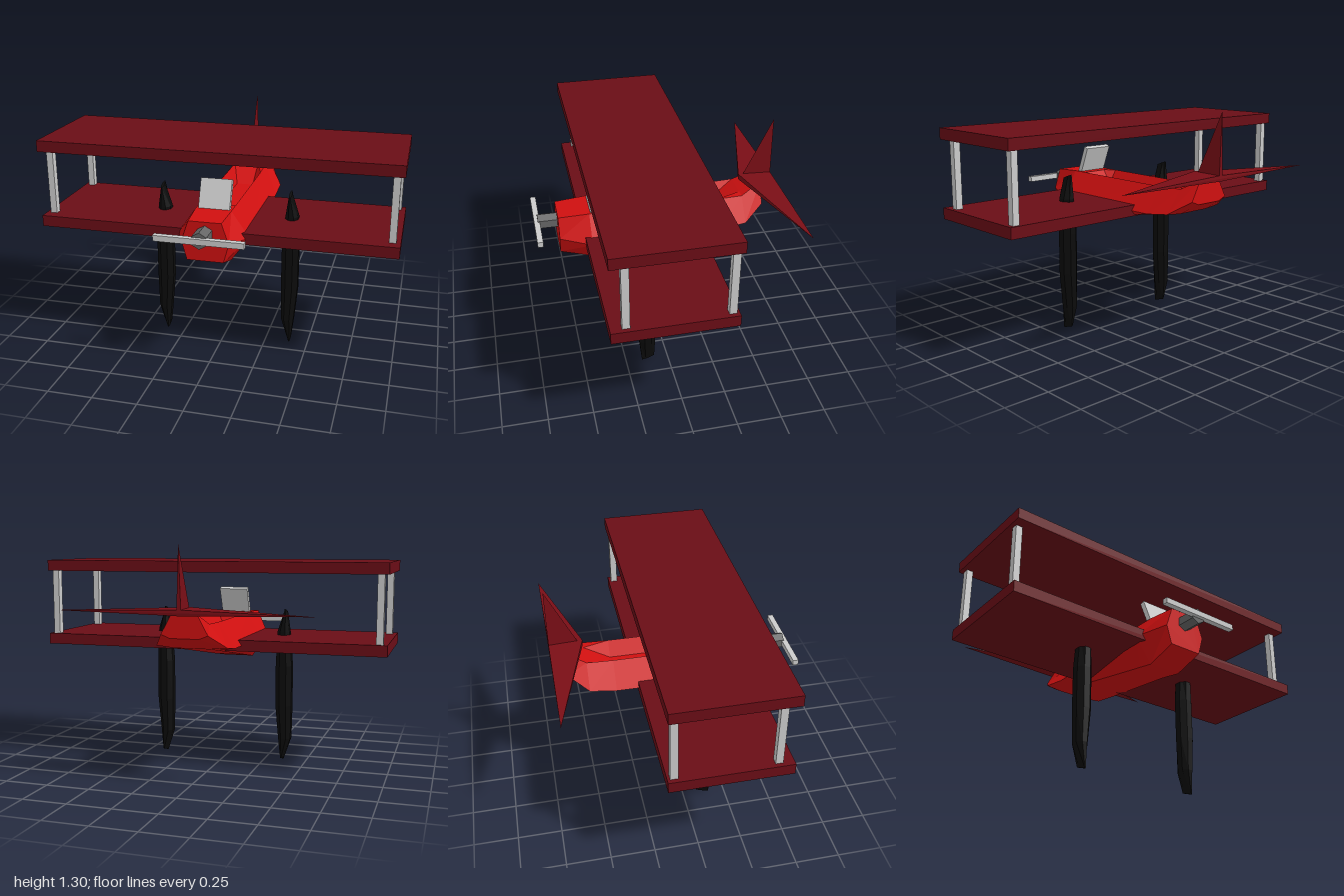
import * as THREE from 'three';
import { ConvexGeometry } from 'three/addons/geometries/ConvexGeometry.js';

const paint = (color) => new THREE.MeshStandardMaterial({ color, flatShading: true });

// Skin a row of rings; each ring runs counter-clockwise seen from the first end
function loft(rings) {
  const pos = [];
  const tri = (...pts) => pts.forEach((p) => pos.push(...p));
  const n = rings[0].length;
  for (let r = 0; r < rings.length - 1; r++) {
    for (let i = 0; i < n; i++) {
      const j = (i + 1) % n;
      const [a, b, c, d] = [rings[r][i], rings[r][j], rings[r + 1][j], rings[r + 1][i]];
      tri(a, d, c);
      tri(a, c, b);
    }
  }
  const last = rings[rings.length - 1];
  for (let i = 1; i < n - 1; i++) {
    tri(rings[0][0], rings[0][i], rings[0][i + 1]);
    tri(last[0], last[i + 1], last[i]);
  }
  const g = new THREE.BufferGeometry();
  g.setAttribute('position', new THREE.Float32BufferAttribute(pos, 3));
  g.computeVertexNormals();
  return g;
}

const hull = (points) => new ConvexGeometry(points.map((p) => new THREE.Vector3(...p)));

export function createModel() {
  const model = new THREE.Group();
  const red = paint(0xd01010);
  const wingRed = paint(0x6a0d16);
  const tailRed = paint(0x7a0e16);
  const black = paint(0x0b0b0b);
  const grey = paint(0xcccccc);
  const darkGrey = paint(0x666666);

  function add(name, geometry, material, x = 0, y = 0, z = 0) {
    const mesh = new THREE.Mesh(geometry, material);
    mesh.name = name;
    mesh.position.set(x, y, z);
    model.add(mesh);
    return mesh;
  }

  // Fuselage: z, bottom y, half width, middle y, half width, top y, half width, cockpit floor y
  const stations = [
    [0.565, 0.645, 0.10, 0.75, 0.13, 0.865, 0.09, 0.865],
    [0.39, 0.59, 0.10, 0.73, 0.20, 0.875, 0.10, 0.875],
    [0.30, 0.606, 0.10, 0.73, 0.20, 0.875, 0.10, 0.875],
    [0.25, 0.614, 0.10, 0.73, 0.20, 0.875, 0.10, 0.79],
    [-0.35, 0.719, 0.10, 0.735, 0.20, 0.875, 0.10, 0.79],
    [-0.50, 0.745, 0.10, 0.755, 0.20, 0.88, 0.10, 0.88],
    [-0.615, 0.81, 0.08, 0.83, 0.13, 0.94, 0.07, 0.94],
  ];
  add('fuselage', loft(stations.map(([z, yb, b, ym, m, yt, t, floor]) => [
    [b, yb, z], [m, ym, z], [t, yt, z], [0.05, floor, z],
    [-0.05, floor, z], [-t, yt, z], [-m, ym, z], [-b, yb, z],
  ])), red);

  // Wings and struts
  const wing = new THREE.BoxGeometry(2, 0.063, 0.65);
  add('upperWing', wing, wingRed, 0, 1.17, 0.1);
  add('lowerWing', wing, wingRed, 0, 0.733, 0.1);
  const strut = new THREE.BoxGeometry(0.038, 0.385, 0.04);
  for (const side of [1, -1]) {
    for (const [end, z] of [['front', 0.345], ['rear', -0.19]]) {
      add(`${end}${side > 0 ? 'Left' : 'Right'}Strut`, strut, grey, side * 0.957, 0.952, z);
    }
  }

  // Tail surfaces taper to points
  add('tailplane', hull([
    [0, 0.935, -0.505], [0, 0.967, -0.505], [0, 0.935, -0.695], [0, 0.967, -0.695],
    [0.7, 0.95, -0.697], [-0.7, 0.95, -0.697],
  ]), tailRed);
  add('tailFin', hull([
    [0, 0.96, -0.53], [0.012, 0.96, -0.695], [-0.012, 0.96, -0.695], [0, 1.3, -0.695],
  ]), tailRed);

  // Tall landing floats: y, min x, max x, min z, max z
  const levels = [
    [0.905, -0.01, 0.005, 0.09, 0.155],
    [0.78, -0.027, 0.045, 0.074, 0.167],
    [0.58, -0.043, 0.053, 0.07, 0.17],
    [0.34, -0.043, 0.053, 0.07, 0.17],
    [0.14, -0.039, 0.035, 0.075, 0.168],
    [0.01, 0.008, 0.02, 0.082, 0.155],
  ];
  const floatGeometry = loft(levels.map(([y, x0, x1, z0, z1], level) => {
    const ring = [];
    for (let i = 0; i < 8; i++) {
      const a = ((i + 0.5) / 8) * Math.PI * 2;
      const u = Math.cos(a) / 0.924, v = -Math.sin(a) / 0.924;
      const tilt = level === 0 || level === 5 ? -0.012 * v : 0;
      ring.push([(x0 + x1) / 2 + u * (x1 - x0) / 2, y + tilt, (z0 + z1) / 2 + v * (z1 - z0) / 2]);
    }
    return ring;
  }));
  add('leftFloat', floatGeometry, black, 0.377, 0, 0);
  add('rightFloat', floatGeometry, black, -0.373, 0, 0);

  // Engine hub and propeller
  const hub = new THREE.CylinderGeometry(0.046, 0.046, 0.13, 6).rotateX(Math.PI / 2);
  add('engineHub', hub, darkGrey, 0, 0.8, 0.61);
  add('propeller', new THREE.BoxGeometry(0.485, 0.032, 0.032), grey, 0, 0.803, 0.68);

  // Windscreen leaning back over the cockpit
  const screen = add('windscreen', new THREE.BoxGeometry(0.175, 0.17, 0.03), grey, 0, 0.945, 0.338);
  screen.rotation.x = -0.38;

  return model;
}
